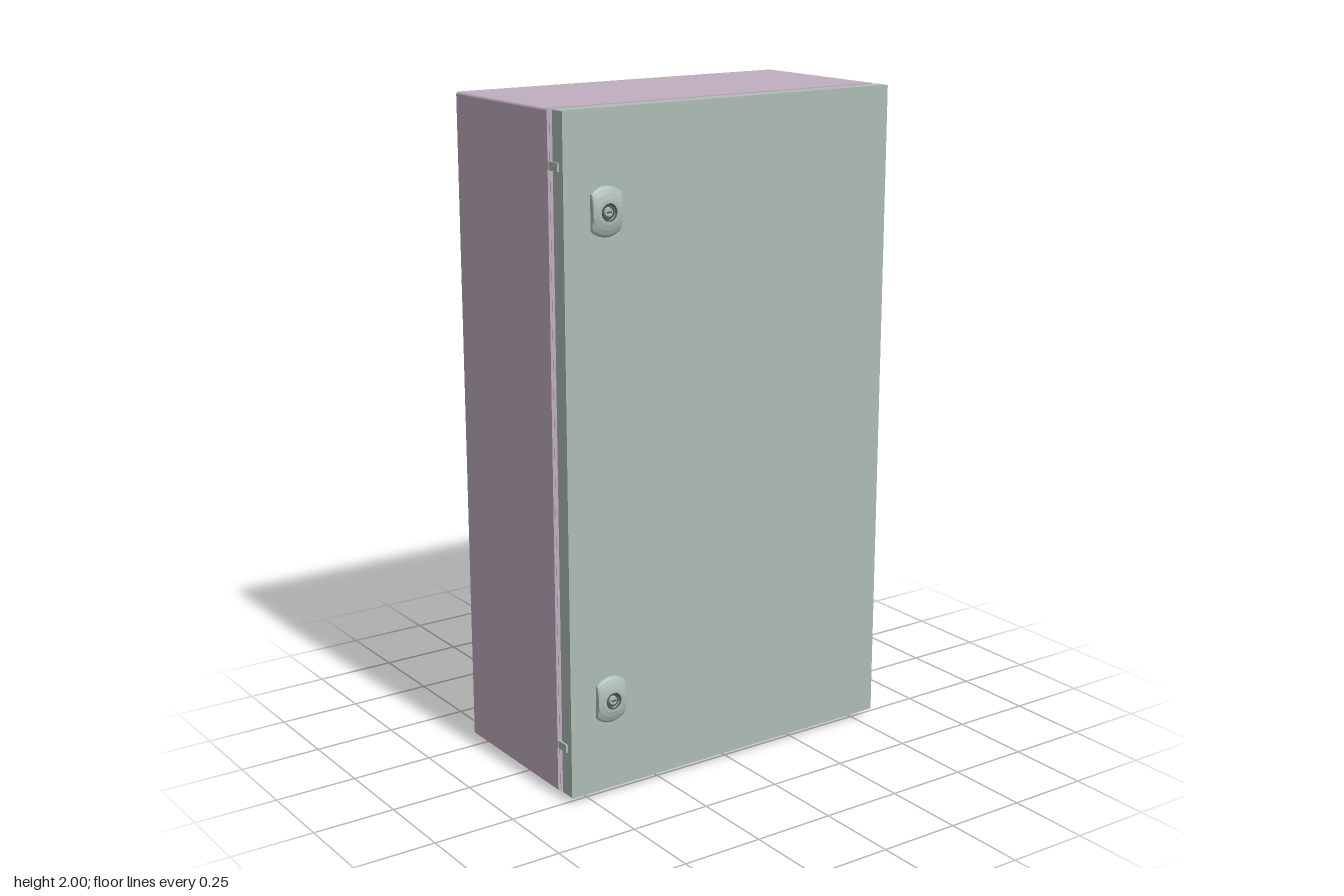
import * as THREE from 'three';

const mat = (color) => new THREE.MeshStandardMaterial({ color });
const MAUVE = mat(0xc0aec0), GREEN = mat(0xadbdb5), OLIVE = mat(0xacb09c);
const SLATE = mat(0x70787d), DARK = mat(0x4c5357);

// Rounded rectangle outline, used both for shapes and for holes
function roundRect(x0, y0, x1, y1, r, Type = THREE.Shape) {
  const s = new Type();
  s.moveTo(x0 + r, y0);
  s.lineTo(x1 - r, y0);
  s.absarc(x1 - r, y0 + r, r, -Math.PI / 2, 0);
  s.lineTo(x1, y1 - r);
  s.absarc(x1 - r, y1 - r, r, 0, Math.PI / 2);
  s.lineTo(x0 + r, y1);
  s.absarc(x0 + r, y1 - r, r, Math.PI / 2, Math.PI);
  s.lineTo(x0, y0 + r);
  s.absarc(x0 + r, y0 + r, r, Math.PI, Math.PI * 1.5);
  return s;
}

function add(parent, name, geometry, material, x = 0, y = 0, z = 0) {
  const m = new THREE.Mesh(geometry, material);
  m.name = name;
  m.position.set(x, y, z);
  parent.add(m);
  return m;
}

const slab = (shape, z0, z1) =>
  new THREE.ExtrudeGeometry(shape, { depth: z1 - z0, bevelEnabled: false, curveSegments: 6 }).translate(0, 0, z0);

// Rectangular frame: outer rectangle minus an opening inset by t
function frame(x0, y0, x1, y1, r, t, z0, z1) {
  const s = roundRect(x0, y0, x1, y1, r);
  s.holes.push(roundRect(x0 + t, y0 + t, x1 - t, y1 - t, Math.max(r - t, 0.002), THREE.Path));
  return slab(s, z0, z1);
}

// Disc whose axis points along z
const disc = (r0, r1, h, seg = 24) => new THREE.CylinderGeometry(r0, r1, h, seg).rotateX(Math.PI / 2);

// Domed lock housing: a shallow dome with its two sides cut flat
function lockHousing() {
  const pts = [[0.07, 0], [0.07, 0.006], [0.064, 0.011], [0.05, 0.017], [0.035, 0.021], [0.022, 0.022], [0.022, 0.012]]
    .map(([r, h]) => new THREE.Vector2(r, h));
  const g = new THREE.LatheGeometry(pts, 48).rotateX(Math.PI / 2);
  const p = g.attributes.position;
  for (let i = 0; i < p.count; i++) p.setX(i, THREE.MathUtils.clamp(p.getX(i), -0.048, 0.048));
  const flat = g.toNonIndexed();
  flat.computeVertexNormals();
  return flat;
}

export function createModel() {
  const model = new THREE.Group();
  model.name = 'wallCabinet';

  // Body: wrapped walls, front flange, raised sealing collar
  const body = new THREE.Group();
  body.name = 'body';
  model.add(body);
  add(body, 'walls', frame(-0.567, 0.018, 0.567, 2, 0.008, 0.011, -0.29, 0.202), MAUVE);
  add(body, 'frontFlange', frame(-0.56, 0.025, 0.56, 1.993, 0.004, 0.065, 0.196, 0.203), MAUVE);
  add(body, 'collar', frame(-0.505, 0.075, 0.51, 1.943, 0.015, 0.01, 0.2, 0.223), MAUVE);

  // Back panel, slightly recessed, with corner fixing holes
  const panel = roundRect(-0.556, 0.029, 0.556, 1.989, 0.002);
  for (const x of [-0.525, 0.525]) for (const y of [0.065, 1.953]) {
    const hole = new THREE.Path();
    hole.absarc(x, y, 0.012, 0, Math.PI * 2);
    panel.holes.push(hole);
    add(body, 'fixingHoleBack', disc(0.013, 0.013, 0.004, 16), DARK, x, y, -0.273);
  }
  add(body, 'backPanel', slab(panel, -0.284, -0.276), OLIVE);

  // Round mounting bosses on the back
  for (const x of [-0.422, 0.422]) for (const y of [0.163, 1.857]) {
    add(body, 'mountingBoss', disc(0.026, 0.022, 0.014), OLIVE, x, y, -0.29);
  }

  // Gland plate under the body, with its gasket and screws
  const gland = new THREE.Group();
  gland.name = 'glandPlate';
  model.add(gland);
  const plate = (inset, h) => slab(roundRect(-0.485 + inset, -0.165 + inset, 0.485 - inset, 0.265 - inset, 0.05 - inset), 0, h)
    .rotateX(-Math.PI / 2);
  add(gland, 'gasket', plate(0, 0.012), DARK, 0, 0.009);
  add(gland, 'plate', plate(0.008, 0.008), SLATE, 0, 0.003);
  const screw = new THREE.CylinderGeometry(0.009, 0.007, 0.004, 12);
  for (let i = 0; i < 5; i++) for (const z of [-0.235, 0.135]) {
    add(gland, 'screw', screw, OLIVE, -0.43 + i * 0.215, 0.002, z);
  }

  // Door: front sheet with folded edges and inner stiffening rails
  const door = new THREE.Group();
  door.name = 'door';
  model.add(door);
  add(door, 'doorSheet', slab(roundRect(-0.563, 0.02, 0.564, 2, 0.004), 0.264, 0.272), GREEN);
  add(door, 'doorEdges', frame(-0.563, 0.02, 0.564, 2, 0.004, 0.01, 0.222, 0.264), GREEN);
  add(door, 'doorReturn', frame(-0.56, 0.023, 0.561, 1.997, 0.004, 0.032, 0.222, 0.228), GREEN);

  // Locks and edge hooks on the -x side, hinges on the +x side
  for (const [lockY, hookY, dir] of [[1.72, 1.848, 1], [0.3, 0.17, -1]]) {
    const lock = new THREE.Group();
    lock.name = 'lock';
    lock.position.set(-0.43, lockY, 0.272);
    door.add(lock);
    add(lock, 'lockHousing', lockHousing(), GREEN);
    add(lock, 'lockWell', disc(0.022, 0.022, 0.002), DARK, 0, 0, 0.012);
    add(lock, 'lockRing', new THREE.TorusGeometry(0.023, 0.0025, 8, 32), DARK, 0, 0, 0.021);
    add(lock, 'lockInsert', disc(0.012, 0.014, 0.008, 16), GREEN, 0, 0, 0.016);
    add(lock, 'lockKeyBar', new THREE.BoxGeometry(0.016, 0.004, 0.002), DARK, 0, 0, 0.0205);

    const hook = new THREE.Group();
    hook.name = 'edgeHook';
    hook.position.set(-0.566, hookY, 0);
    door.add(hook);
    add(hook, 'hookArm', new THREE.BoxGeometry(0.006, 0.024, 0.045), GREEN, 0, 0, 0.23);
    add(hook, 'hookTip', new THREE.BoxGeometry(0.018, 0.024, 0.005), GREEN, 0.004, 0, 0.208);

    const hinge = new THREE.Group();
    hinge.name = 'hinge';
    hinge.position.set(0.516, 1.01 + dir * 0.83, 0.213);
    model.add(hinge);
    add(hinge, 'hingeLeaf', new THREE.BoxGeometry(0.008, 0.2, 0.022), GREEN, -0.004, 0, 0);
    for (const y of [-0.085, -0.035, 0.035, 0.085]) {
      add(hinge, 'hingeKnuckle', new THREE.CylinderGeometry(0.009, 0.009, 0.03, 16), GREEN, 0.002, y, 0);
    }
    add(model, 'latchKeeper', new THREE.BoxGeometry(0.016, 0.09, 0.014), GREEN, -0.511, lockY, 0.217);
  }

  return model;
}
